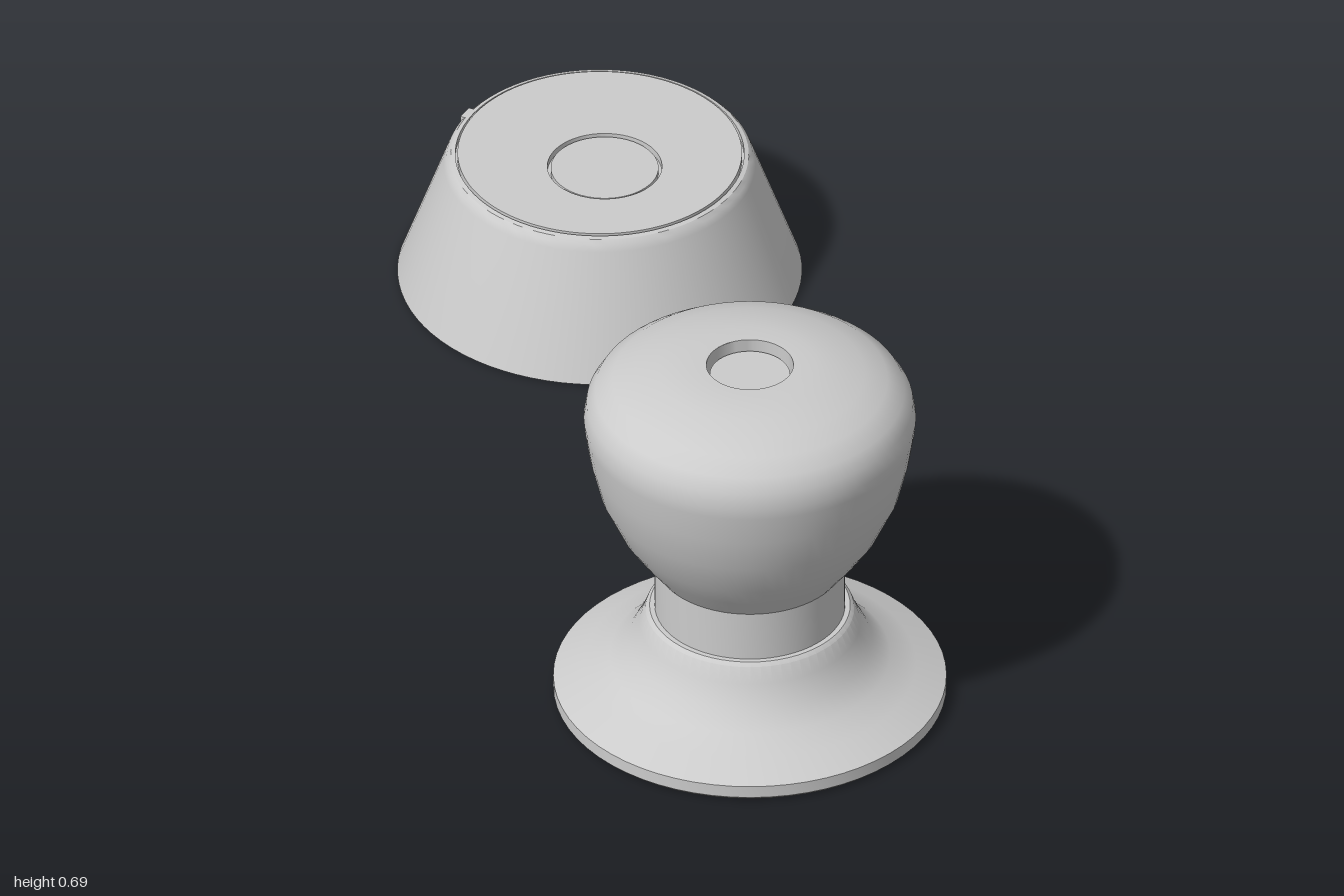
import * as THREE from 'three';
import { toCreasedNormals } from 'three/addons/utils/BufferGeometryUtils.js';

const material = new THREE.MeshStandardMaterial({ color: 0xcccccc });

function part(name, geometry, parent) {
  const mesh = new THREE.Mesh(toCreasedNormals(geometry, 0.5), material);
  mesh.name = name;
  parent.add(mesh);
  return mesh;
}

// Profile points are [radius, height], running up the outside.
function lathe(name, points, parent, segments = 64) {
  const profile = points.map(([r, y]) => new THREE.Vector2(r, y));
  return part(name, new THREE.LatheGeometry(profile, segments), parent);
}

function createKnob() {
  const knob = new THREE.Group();
  knob.name = 'knob';
  const bore = 0.076;

  // Flared foot
  lathe('foot', [
    [bore, 0.002], [0.336, 0.002], [0.343, 0.009], [0.343, 0.032],
    [0.29, 0.056], [0.245, 0.076], [0.213, 0.108], [0.193, 0.145],
    [0.182, 0.174], [0.175, 0.18], [0.16, 0.18],
  ], knob);

  // Neck
  lathe('neck', [[0.166, 0.17], [0.166, 0.28]], knob);

  // Grip
  lathe('grip', [
    [0.16, 0.273], [0.166, 0.275], [0.2, 0.32], [0.23, 0.365], [0.262, 0.435],
    [0.279, 0.503], [0.288, 0.56], [0.29, 0.58], [0.285, 0.611], [0.27, 0.636],
    [0.24, 0.658], [0.2, 0.672], [0.16, 0.683], [0.115, 0.69], [bore, 0.69],
  ], knob);

  // Through bore with a loose plug near the top
  lathe('bore', [[bore, 0.69], [bore, 0.002]], knob, 48);
  const plug = part('plug', new THREE.CylinderGeometry(0.07, 0.07, 0.1, 48), knob);
  plug.position.y = 0.62;

  knob.position.z = 0.657;
  return knob;
}

function createRose() {
  const rose = new THREE.Group();
  rose.name = 'rose';

  // Tapered body with a shallow seat in the top
  lathe('body', [
    [0, 0.005], [0.353, 0.005], [0.272, 0.23], [0.267, 0.242],
    [0.26, 0.249], [0.252, 0.251], [0.252, 0.24], [0, 0.24],
  ], rose, 80);

  // Top plate with an off-centre round opening
  const shape = new THREE.Shape().absarc(0, 0, 0.248, 0, Math.PI * 2);
  shape.holes.push(new THREE.Path().absarc(0, -0.0425, 0.1, 0, Math.PI * 2, true));
  const plate = part('topPlate', new THREE.ExtrudeGeometry(shape, {
    depth: 0.013, bevelEnabled: false, curveSegments: 64,
  }), rose);
  plate.rotation.x = -Math.PI / 2;
  plate.position.y = 0.24;

  // Button sitting in the opening
  const button = part('button', new THREE.CylinderGeometry(0.094, 0.094, 0.01, 48), rose);
  button.position.set(0, 0.245, 0.0425);

  // Small catch at the back of the rim
  const catchTab = part('catch', new THREE.BoxGeometry(0.03, 0.018, 0.02), rose);
  catchTab.position.set(-0.197, 0.24, -0.168);
  catchTab.rotation.y = Math.atan2(-0.197, -0.168);

  rose.position.z = -0.647;
  return rose;
}

export function createModel() {
  const model = new THREE.Group();
  model.name = 'doorKnobAndRose';
  model.add(createKnob(), createRose());
  return model;
}
